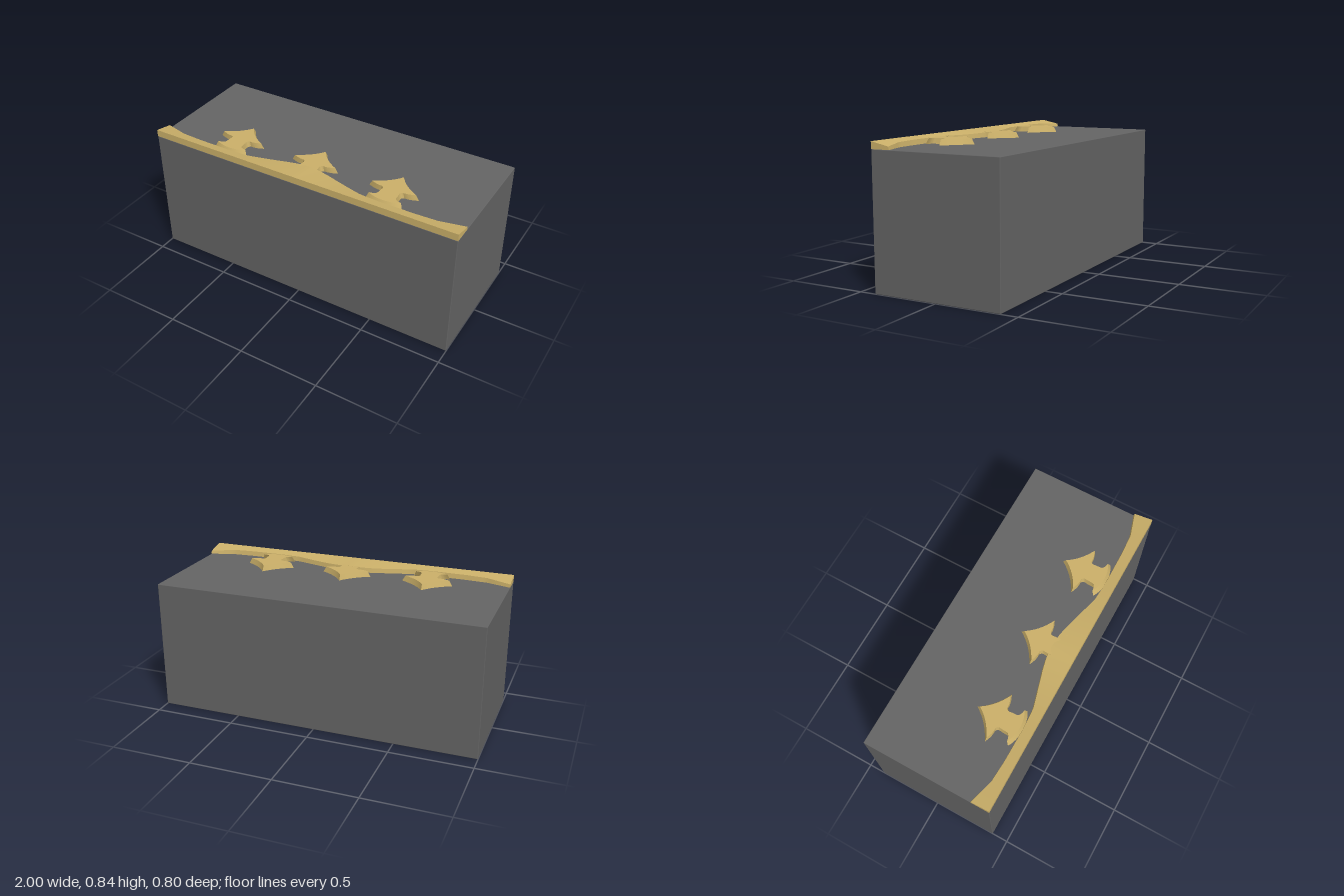
import * as THREE from 'three';
import { toCreasedNormals } from 'three/addons/utils/BufferGeometryUtils.js';
import { RoundedBoxGeometry } from 'three/addons/geometries/RoundedBoxGeometry.js';

const TOP = 0.8;

// Move every vertex of a geometry by a rule
function warp(geometry, rule) {
  const p = geometry.attributes.position;
  const v = new THREE.Vector3();
  for (let i = 0; i < p.count; i++) {
    rule(v.fromBufferAttribute(p, i));
    p.setXYZ(i, v.x, v.y, v.z);
  }
  return toCreasedNormals(geometry, 0.5);
}

// Wavy rim: a sloped section swept along x, its back edge following a curve
function rimGeometry() {
  const half = [[0, 0.245], [0.08, 0.25], [0.15, 0.265], [0.38, 0.328], [0.5, 0.335],
    [0.72, 0.333], [0.85, 0.325], [1, 0.28]];
  const backAt = (x) => {
    const a = Math.min(Math.abs(x), 1);
    let i = 0;
    while (i < half.length - 2 && a > half[i + 1][0]) i++;
    const [x0, z0] = half[i], [x1, z1] = half[i + 1];
    return THREE.MathUtils.lerp(z0, z1, (a - x0) / (x1 - x0));
  };
  const section = new THREE.Shape([[0, 0], [1, 0], [1, 1], [0, 1]].map((q) => new THREE.Vector2(...q)));
  const g = new THREE.ExtrudeGeometry(section, { depth: 2, steps: 80, bevelEnabled: false });
  return warp(g, (v) => {
    const x = v.z - 1, zb = backAt(x);
    // The crest in the middle stays high, the ends slope down
    const middle = Math.max(0, 1 - Math.abs(x) / 0.45);
    const yb = THREE.MathUtils.lerp(0.843 - (0.4 - zb) * 0.2, 0.834, middle);
    const back = v.x > 0.5, up = v.y > 0.5;
    v.set(x, up ? (back ? yb : 0.843) : TOP, back ? zb + (up ? 0.005 : 0) : 0.4);
  });
}

// Tree ornament: mirrored outline with inward-leaning walls
function treeGeometry() {
  const s = new THREE.Shape();
  s.moveTo(0, -0.05);
  s.quadraticCurveTo(-0.055, -0.135, -0.155, -0.185);
  s.quadraticCurveTo(-0.11, -0.208, -0.075, -0.205);
  s.quadraticCurveTo(-0.055, -0.215, -0.062, -0.24);
  s.lineTo(-0.064, -0.28);
  s.quadraticCurveTo(-0.068, -0.302, -0.113, -0.308);
  s.quadraticCurveTo(-0.07, -0.337, 0, -0.338);
  s.quadraticCurveTo(0.07, -0.337, 0.113, -0.308);
  s.quadraticCurveTo(0.068, -0.302, 0.064, -0.28);
  s.lineTo(0.062, -0.24);
  s.quadraticCurveTo(0.055, -0.215, 0.075, -0.205);
  s.quadraticCurveTo(0.11, -0.208, 0.155, -0.185);
  s.quadraticCurveTo(0.055, -0.135, 0, -0.05);
  const g = new THREE.ExtrudeGeometry(s, { depth: 0.033, bevelEnabled: false, curveSegments: 8 });
  g.rotateX(-Math.PI / 2);
  return warp(g, (v) => {
    if (v.y > 0.01) {
      v.x *= 0.88;
      v.z = 0.2 + (v.z - 0.2) * 0.88;
    }
  });
}

export function createModel() {
  const group = new THREE.Group();
  const grey = new THREE.MeshStandardMaterial({ name: 'dark grey', color: 0x646464 });
  const gold = new THREE.MeshStandardMaterial({ name: 'gold', color: 0xcbb069 });
  const add = (name, geometry, material, x, y) => {
    const mesh = new THREE.Mesh(geometry, material);
    mesh.name = name;
    mesh.position.set(x, y, 0);
    group.add(mesh);
  };

  // Solid block with slightly softened edges
  add('block', new RoundedBoxGeometry(2, TOP, 0.8, 2, 0.004), grey, 0, TOP / 2);

  // Raised trim along the front of the top
  add('wavyRim', rimGeometry(), gold, 0, 0);

  // Row of three ornaments
  const tree = treeGeometry();
  ['rightTree', 'middleTree', 'leftTree'].forEach((name, i) => add(name, tree, gold, (i - 1) * 0.515, TOP));
  return group;
}
